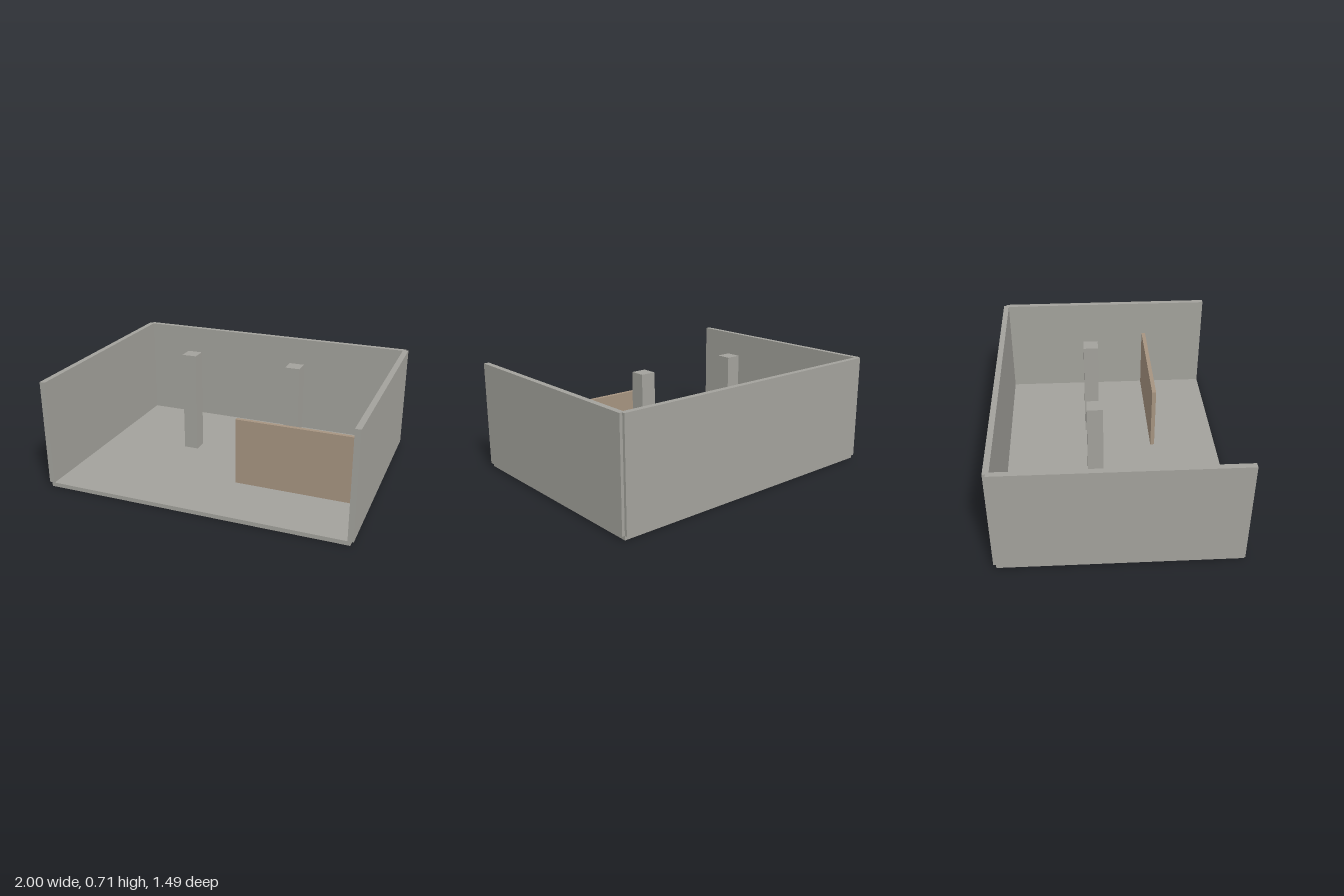
import * as THREE from 'three';

export function createModel() {
  const model = new THREE.Group();
  const concrete = new THREE.MeshStandardMaterial({ color: 0xa3a29c });
  concrete.name = 'concrete grey';
  const wood = new THREE.MeshStandardMaterial({ color: 0xa69480 });
  wood.name = 'warm tan';

  // Box given by its extents along each axis
  function block(name, material, [x0, x1], [y0, y1], [z0, z1]) {
    const mesh = new THREE.Mesh(new THREE.BoxGeometry(x1 - x0, y1 - y0, z1 - z0), material);
    mesh.position.set((x0 + x1) / 2, (y0 + y1) / 2, (z0 + z1) / 2);
    mesh.name = name;
    model.add(mesh);
  }

  const floorTop = 0.027;
  const wallSpan = [floorTop, 0.713];
  const sideDepth = [-0.726, 0.744];

  // Floor slab and back wall
  block('floor', concrete, [-0.982, 0.982], [0, floorTop], sideDepth);
  block('backWall', concrete, [-0.982, 0.982], wallSpan, [-0.744, -0.708]);

  // Side walls, and free-standing square columns
  for (const [side, label] of [[1, 'left'], [-1, 'right']]) {
    const mirrored = (a, b) => (side > 0 ? [a, b] : [-b, -a]);
    block(label + 'Wall', concrete, mirrored(0.964, 1), wallSpan, sideDepth);
    block(label + 'Column', concrete, mirrored(0.317, 0.415), wallSpan, [-0.167, -0.069]);
  }

  // Low partition near the open front
  block('partition', wood, [0.123, 0.953], [floorTop, 0.469], [0.288, 0.315]);

  return model;
}
